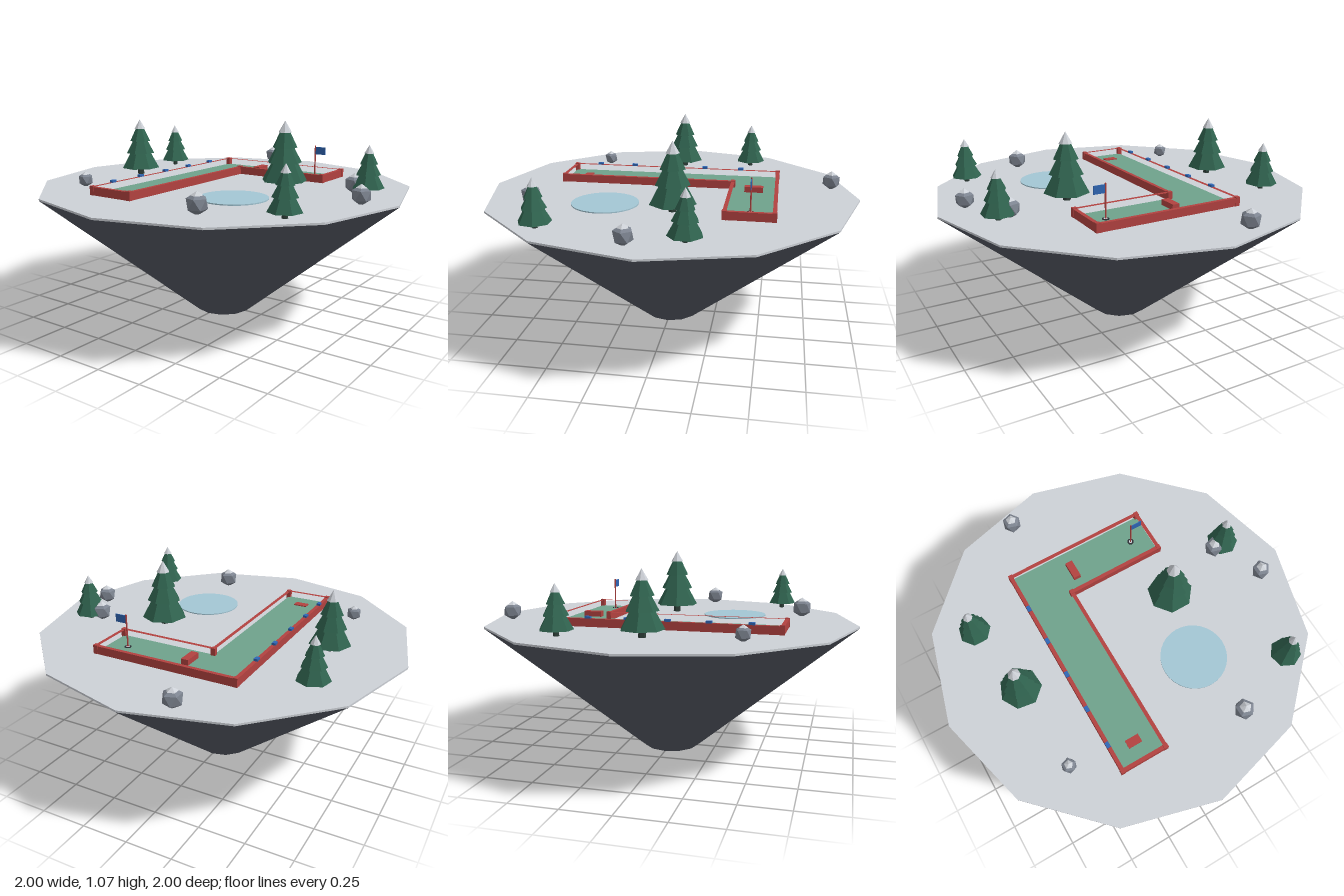
import * as THREE from 'three';

const mat = (name, color, flat = true) => {
  const m = new THREE.MeshStandardMaterial({ color, flatShading: flat });
  m.name = name;
  return m;
};

export function createModel() {
  const group = new THREE.Group();
  const M = {
    snow: mat('snow', 0xcdd1d7), slate: mat('slate', 0x565b66),
    turf: mat('turf', 0x6fa28c), red: mat('red', 0xb24240),
    blue: mat('blue', 0x2f66b5), ice: mat('ice', 0xa3c6d4),
    pine: mat('pine', 0x30634f), trunk: mat('trunk', 0x2c3c36),
    rock: mat('rock', 0x7d8490), dark: mat('dark', 0x2a2d33),
  };
  const GROUND = 0.71;

  const add = (parent, name, geo, material, x = 0, y = 0, z = 0) => {
    const mesh = new THREE.Mesh(geo, material);
    mesh.name = name;
    mesh.position.set(x, y, z);
    parent.add(mesh);
    return mesh;
  };
  const box = (name, material, x, y, z, w, h, d) =>
    add(group, name, new THREE.BoxGeometry(w, h, d), material, x, y, z);

  // Floating island with a thin snow layer
  add(group, 'islandBase', new THREE.CylinderGeometry(1, 0.15, 0.7, 12), M.slate, 0, 0.35, 0);
  add(group, 'snowLayer', new THREE.CylinderGeometry(1, 1, 0.01, 12), M.snow, 0, 0.705, 0);

  // Frozen pond
  add(group, 'pond', new THREE.CylinderGeometry(0.175, 0.175, 0.006, 32), M.ice, 0.27, GROUND + 0.003, 0.305);

  // L-shaped lane: corners of the wall centre line, moved in or out by t
  const corners = (t) => [
    [-0.355 - t, -0.565 - t], [0.43 + t, -0.565 - t], [0.43 + t, -0.325 + t],
    [-0.11 + t, -0.325 + t], [-0.11 + t, 0.64 + t], [-0.355 - t, 0.64 + t],
  ];
  const points = (t) => corners(t).map(([x, z]) => new THREE.Vector2(x, -z));
  const slab = (shape, depth) =>
    new THREE.ExtrudeGeometry(shape, { depth, bevelEnabled: false }).rotateX(-Math.PI / 2);

  add(group, 'fairway', slab(new THREE.Shape(points(0)), 0.008), M.turf, 0, GROUND, 0);
  const border = new THREE.Shape(points(0.01));
  border.holes.push(new THREE.Path(points(-0.01)));
  add(group, 'laneBorder', slab(border, 0.043), M.red, 0, GROUND, 0);
  for (const [x, z] of corners(0)) box('cornerPost', M.red, x, 0.7335, z, 0.024, 0.047, 0.024);

  // Tee mat, obstacle and border markers
  box('teeMat', M.red, -0.232, 0.72, 0.535, 0.075, 0.006, 0.045);
  box('obstacle', M.red, -0.04, 0.732, -0.443, 0.04, 0.03, 0.1);
  for (let i = 0; i < 5; i++) box('borderMarker', M.blue, -0.357, 0.759, -0.35 + i * 0.211, 0.02, 0.012, 0.03);

  // Hole with flag
  add(group, 'holeRim', new THREE.CylinderGeometry(0.018, 0.018, 0.003, 12), M.dark, 0.325, 0.7195, -0.445);
  add(group, 'holeCup', new THREE.CylinderGeometry(0.01, 0.01, 0.002, 8), M.snow, 0.325, 0.7208, -0.445);
  add(group, 'flagPole', new THREE.CylinderGeometry(0.004, 0.004, 0.175, 6), M.red, 0.325, 0.8075, -0.445);
  box('flag', M.blue, 0.358, 0.868, -0.445, 0.06, 0.042, 0.004);

  // Pine trees: [x, z, height, turn]
  const tiers = [
    [0.34, 0.17, 0.12, 0.43], [0.255, 0.1, 0.39, 0.68], [0.185, 0.03, 0.61, 0.93],
  ]; // bottom radius, top radius, bottom, top, as shares of the height
  const trees = [
    [-0.66, -0.39, 0.25, 0.45], [-0.595, 0.015, 0.322, 0.3], [0.345, -0.06, 0.357, 0.45],
    [0.69, 0.53, 0.24, 0], [0.76, -0.185, 0.248, 0.2],
  ];
  for (const [x, z, h, turn] of trees) {
    const tree = new THREE.Group();
    tree.name = 'pineTree';
    tree.position.set(x, GROUND, z);
    tree.rotation.y = turn;
    add(tree, 'trunk', new THREE.CylinderGeometry(0.045, 0.06, 0.2, 6), M.trunk, 0, 0.1, 0);
    for (const [r0, r1, y0, y1] of tiers)
      add(tree, 'branches', new THREE.CylinderGeometry(r1, r0, y1 - y0, 7), M.pine, 0, (y0 + y1) / 2, 0);
    add(tree, 'snowTip', new THREE.ConeGeometry(0.1, 0.17, 7), M.snow, 0, 0.915, 0);
    tree.scale.setScalar(h);
    group.add(tree);
  }

  // Rocks with a cap of snow: [x, z, radius]
  const rocks = [
    [-0.2, -0.86, 0.052], [0.84, 0.075, 0.052], [0.33, 0.68, 0.055],
    [-0.57, 0.485, 0.041], [0.695, -0.17, 0.054],
  ];
  for (const [x, z, r] of rocks) {
    const rock = new THREE.Group();
    rock.name = 'rock';
    rock.position.set(x, GROUND + r * 0.85, z);
    add(rock, 'stone', new THREE.IcosahedronGeometry(1, 0).rotateZ(-0.5536), M.rock);
    add(rock, 'snowCap', new THREE.ConeGeometry(0.56, 0.36, 5).rotateY(Math.PI / 2), M.snow, 0, 0.86, 0);
    rock.scale.setScalar(r);
    group.add(rock);
  }

  return group;
}
